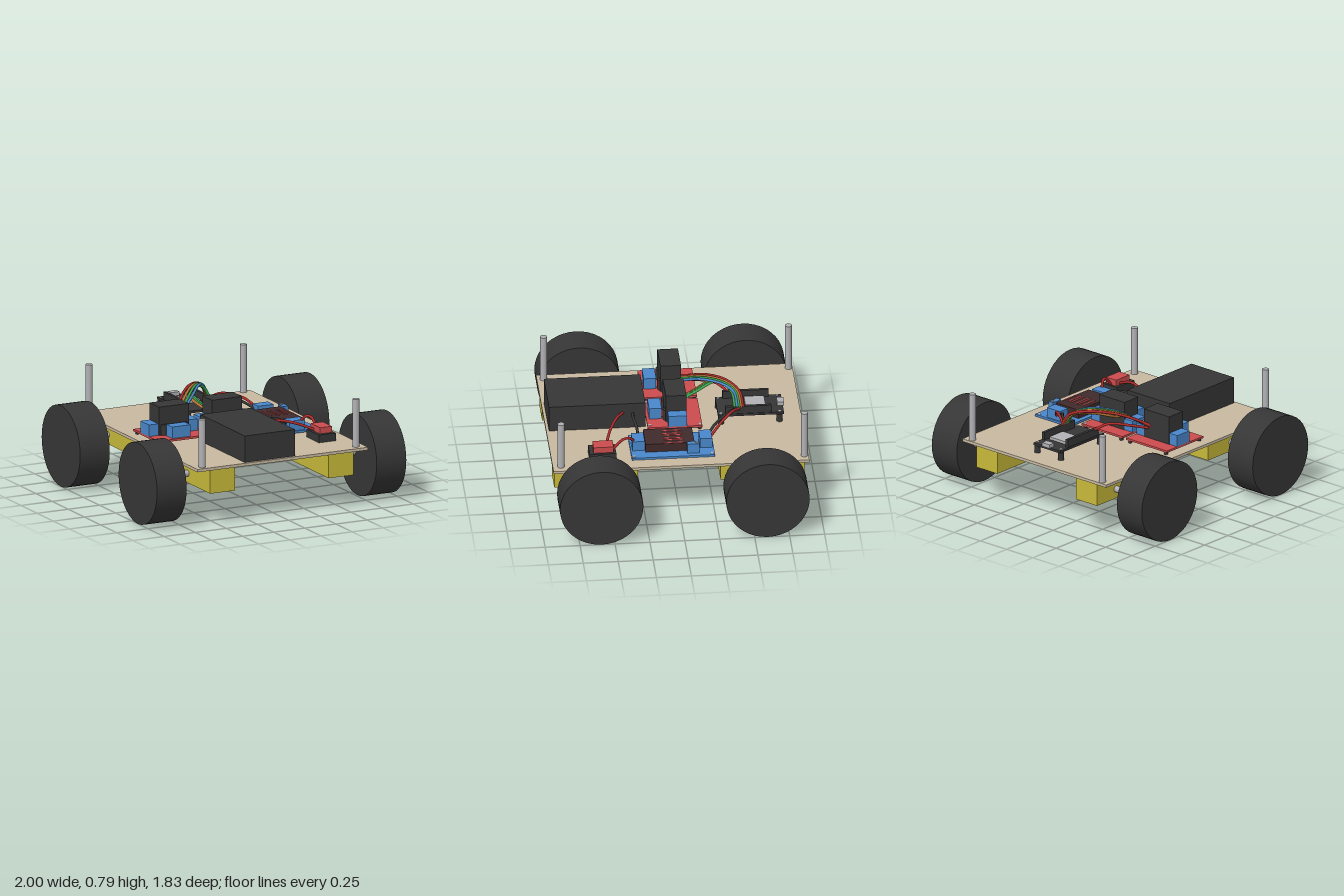
import * as THREE from 'three';

const mat = (name, color) => {
  const m = new THREE.MeshStandardMaterial({ color });
  m.name = name;
  return m;
};

export function createModel() {
  const root = new THREE.Group();
  root.name = 'rover';
  const tan = mat('tan board', 0xc8b9a0);
  const black = mat('black plastic', 0x363636);
  const yellow = mat('yellow motor', 0xc8b93a);
  const silver = mat('silver metal', 0xb2b2b6);
  const blue = mat('blue plastic', 0x4a88cc);
  const red = mat('red board', 0xcc4c4e);
  const maroon = mat('dark display', 0x402a2a);
  const green = mat('green wire', 0x3fa550);
  const orange = mat('orange wire', 0xb87838);
  const wireRed = mat('red wire', 0xb02c2c);

  const add = (name, geo, m, x, y, z, parent = root) => {
    const mesh = new THREE.Mesh(geo, m);
    mesh.name = name;
    mesh.position.set(x, y, z);
    parent.add(mesh);
    return mesh;
  };
  // box given by its limits on each axis
  const box = (name, m, [x0, x1], [y0, y1], [z0, z1], parent = root) =>
    add(name, new THREE.BoxGeometry(x1 - x0, y1 - y0, z1 - z0), m,
      (x0 + x1) / 2, (y0 + y1) / 2, (z0 + z1) / 2, parent);
  const post = (name, m, r, x, y0, y1, z, parent = root) =>
    add(name, new THREE.CylinderGeometry(r, r, y1 - y0, 16), m, x, (y0 + y1) / 2, z, parent);
  const group = (name) => {
    const g = new THREE.Group();
    g.name = name;
    root.add(g);
    return g;
  };

  // chassis plate and corner standoffs
  box('chassisPlate', tan, [-0.685, 0.685], [0.414, 0.435], [-0.92, 0.91]);
  for (const [x, z] of [[-0.622, -0.89], [0.617, -0.89], [-0.622, 0.862], [0.617, 0.851]])
    post('standoff', silver, 0.025, x, 0.435, 0.787, z);

  // wheels, axles and motors
  for (const s of [-1, 1]) {
    for (const [z, axleZ] of [[0.595, 0.545], [-0.595, -0.688]]) {
      const wheelGeo = new THREE.CylinderGeometry(0.298, 0.298, 0.237, 40).rotateZ(Math.PI / 2);
      add('wheel', wheelGeo, black, s * 0.8815, 0.298, z);
      const axleGeo = new THREE.CylinderGeometry(0.024, 0.024, 0.24, 16).rotateZ(Math.PI / 2);
      add('axle', axleGeo, silver, s * 0.67, 0.31, axleZ);
      box('motor', yellow, [s * 0.475 - 0.1, s * 0.475 + 0.1], [0.24, 0.414], [z - 0.3, z + 0.3]);
    }
  }

  // battery box
  box('batteryBox', black, [-0.295, 0.11], [0.435, 0.63], [0.2, 0.89]);

  // two motor driver boards
  for (const cx of [-0.43, -0.005]) {
    const g = group('driverBoard');
    g.position.x = cx;
    box('circuitBoard', red, [-0.195, 0.195], [0.455, 0.47], [-0.2, 0.19], g);
    box('heatSink', black, [-0.12, 0.12], [0.47, 0.68], [-0.093, 0.055], g);
    box('frontTerminal', blue, [-0.073, 0.073], [0.47, 0.555], [0.08, 0.17], g);
    for (const s of [-1, 1]) {
      box('sideTerminal', blue, [s * 0.157 - 0.038, s * 0.157 + 0.038], [0.47, 0.555], [-0.09, 0.043], g);
      post('capacitor', black, 0.033, s * 0.075, 0.47, 0.55, 0.04, g);
      for (const z of [-0.183, 0.173]) post('boardFoot', black, 0.014, s * 0.17, 0.435, 0.455, z, g);
    }
    if (cx > -0.1)
      for (const [x, z] of [[0.173, -0.185], [-0.165, 0.172], [0.157, 0.172]])
        post('mountHole', silver, 0.012, x, 0.47, 0.473, z, g);
  }

  // voltage converter with display
  const conv = group('voltageConverter');
  box('circuitBoard', blue, [0.255, 0.585], [0.44, 0.456], [-0.255, 0.34], conv);
  box('display', maroon, [0.292, 0.508], [0.456, 0.52], [-0.115, 0.235], conv);
  for (let i = 0; i < 3; i++) {
    for (const dx of [0, 0.042])
      box('displayBar', red, [0.323 + i * 0.065 + dx, 0.333 + i * 0.065 + dx], [0.52, 0.523], [-0.035, 0.1], conv);
  }
  for (const z of [-0.2, 0.283])
    box('terminal', blue, [0.355, 0.48], [0.456, 0.53], [z - 0.044, z + 0.044], conv);
  box('trimmer', blue, [0.508, 0.55], [0.456, 0.53], [-0.147, -0.06], conv);
  post('trimmerScrew', silver, 0.012, 0.529, 0.53, 0.536, -0.13, conv);
  for (const [x, z] of [[0.28, -0.235], [0.56, -0.235], [0.28, 0.315], [0.56, 0.322]])
    post('mountHole', silver, 0.012, x, 0.456, 0.459, z, conv);

  // power switch
  box('switchBody', black, [0.43, 0.566], [0.435, 0.492], [0.45, 0.64]);
  box('switchRocker', red, [0.453, 0.55], [0.492, 0.537], [0.468, 0.612]);

  // raised controller board
  const ctl = group('controllerBoard');
  box('circuitBoard', black, [-0.128, 0.125], [0.495, 0.512], [-0.79, -0.318], ctl);
  box('shield', silver, [-0.087, 0.083], [0.512, 0.532], [-0.665, -0.522], ctl);
  box('usbSocket', silver, [-0.037, 0.033], [0.512, 0.54], [-0.8, -0.75], ctl);
  for (const x of [-0.113, 0.11]) {
    box('pinHeader', black, [x - 0.011, x + 0.011], [0.512, 0.57], [-0.7, -0.37], ctl);
    for (const z of [-0.76, -0.34]) {
      post('leg', black, 0.022, x, 0.435, 0.495, z, ctl);
      post('mountHole', silver, 0.011, x, 0.512, 0.515, z, ctl);
    }
  }

  // wires
  const wire = (m, ...pts) => {
    const curve = new THREE.CatmullRomCurve3(pts.map((p) => new THREE.Vector3(...p)));
    add('wire', new THREE.TubeGeometry(curve, 24, 0.01, 8), m, 0, 0, 0);
  };
  // bundle from the controller to the left-hand driver
  [wireRed, orange, green, blue].forEach((m, i) => {
    const d = i * 0.014;
    wire(m, [0.115, 0.56, -0.5 + d], [0.06, 0.655, -0.48 + d], [-0.06 + d, 0.685, -0.4 + d],
      [-0.2 + d * 1.5, 0.66, -0.26 + d], [-0.32 + d * 1.5, 0.59, -0.12], [-0.42 + d * 2, 0.54, -0.06]);
  });
  // bundle to the middle driver
  [orange, green, green].forEach((m, i) => {
    const d = i * 0.016;
    wire(m, [0.115, 0.56, -0.47 + d], [0.05, 0.65, -0.455 + d], [-0.09, 0.67, -0.37 + d],
      [-0.14 + d, 0.64, -0.28], [-0.11 + d, 0.59, -0.17], [-0.07 + d, 0.56, -0.07]);
  });
  wire(wireRed, [-0.115, 0.56, -0.41], [-0.18, 0.6, -0.33], [-0.29, 0.57, -0.18], [-0.35, 0.54, -0.08]);
  // controller supply
  wire(wireRed, [0.115, 0.55, -0.47], [0.2, 0.585, -0.42], [0.32, 0.56, -0.32], [0.395, 0.49, -0.235]);
  wire(black, [0.115, 0.55, -0.45], [0.2, 0.575, -0.39], [0.3, 0.54, -0.28], [0.37, 0.49, -0.22]);
  // battery, switch and converter
  wire(wireRed, [0.1, 0.555, 0.36], [0.22, 0.575, 0.42], [0.34, 0.55, 0.475], [0.46, 0.5, 0.515]);
  wire(wireRed, [0.5, 0.49, 0.47], [0.495, 0.56, 0.4], [0.475, 0.56, 0.35], [0.44, 0.5, 0.3]);
  wire(black, [0.1, 0.545, 0.29], [0.2, 0.56, 0.295], [0.3, 0.54, 0.28], [0.38, 0.49, 0.275]);

  return root;
}
